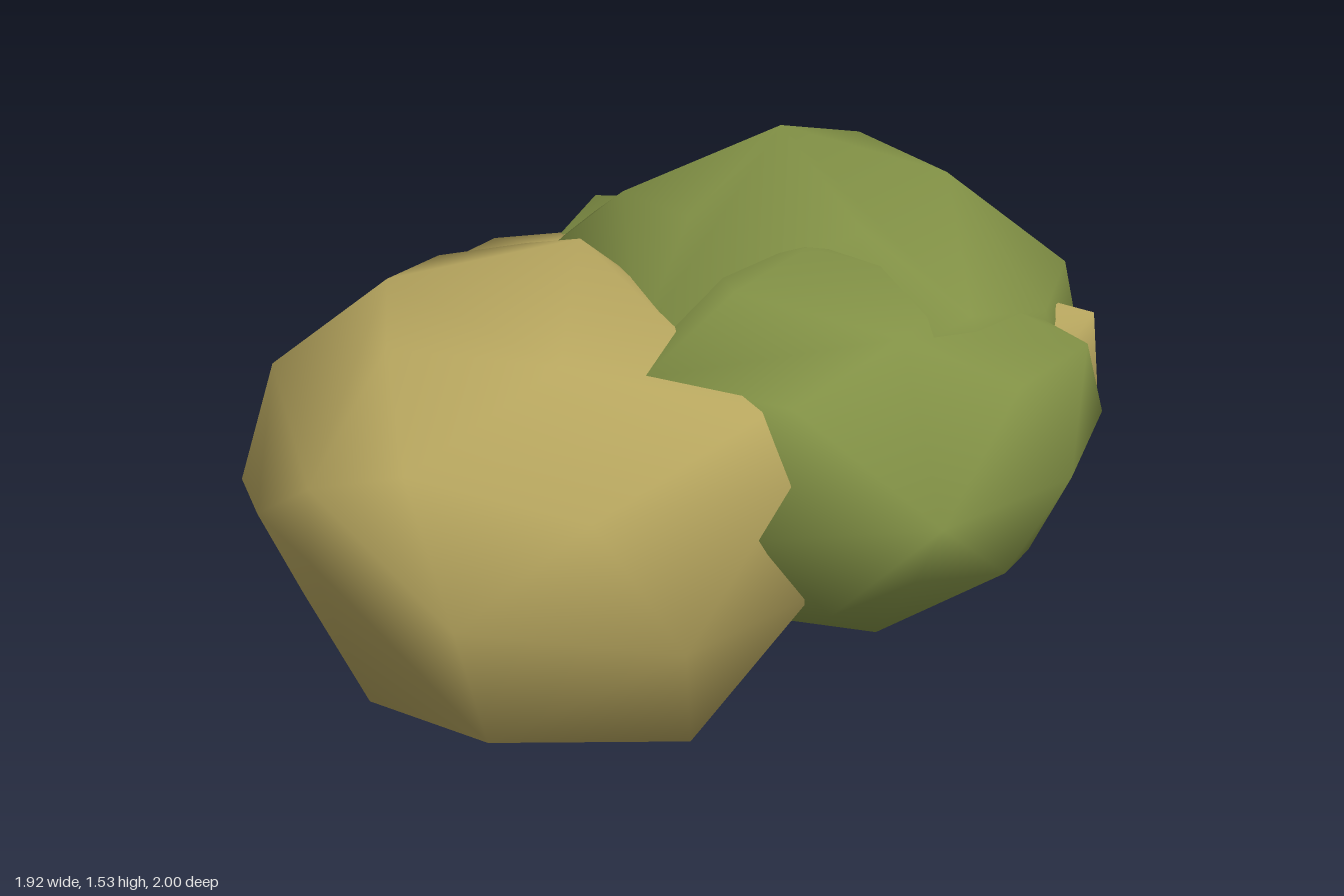
import * as THREE from 'three';
import { mergeVertices } from 'three/addons/utils/BufferGeometryUtils.js';
import { ConvexGeometry } from 'three/addons/geometries/ConvexGeometry.js';

// A lumpy clump: a coarse ellipsoid whose nearest corners are pulled out to the given points
function clump(name, material, centre, radii, corners) {
  const c = new THREE.Vector3(...centre), r = new THREE.Vector3(...radii);
  const ball = new THREE.IcosahedronGeometry(1, 1);
  ball.deleteAttribute('normal');
  ball.deleteAttribute('uv');
  const pos = mergeVertices(ball).attributes.position;
  const dirs = [], points = [];
  for (let i = 0; i < pos.count; i++) {
    const d = new THREE.Vector3().fromBufferAttribute(pos, i);
    dirs.push(d);
    points.push(d.clone().multiply(r).add(c));
  }
  const used = new Set();
  for (const corner of corners) {
    const p = new THREE.Vector3(...corner);
    const d = p.clone().sub(c).divide(r).normalize();
    let best = -1;
    dirs.forEach((v, i) => {
      if (!used.has(i) && (best < 0 || v.dot(d) > dirs[best].dot(d))) best = i;
    });
    used.add(best);
    points[best].copy(p);
  }
  // Welded corners give smooth shading over the coarse faces
  let geometry = new ConvexGeometry(points);
  geometry.deleteAttribute('normal');
  geometry = mergeVertices(geometry, 1e-4);
  geometry.computeVertexNormals();
  const mesh = new THREE.Mesh(geometry, material);
  mesh.name = name;
  return mesh;
}

export function createModel() {
  const leafGreen = new THREE.MeshStandardMaterial({ color: 0x819045 });
  leafGreen.name = 'leaf green';
  const dryLeaf = new THREE.MeshStandardMaterial({ color: 0xb6a55e });
  dryLeaf.name = 'dry leaf';

  const bush = new THREE.Group();
  bush.name = 'bush';
  bush.add(
    clump('frontDryClump', dryLeaf, [-0.29, 0.8, 0.36], [0.62, 0.52, 0.56], [
      [-0.21, 0.78, 1.0], [-0.95, 0.79, 0.48], [-0.93, 0.49, 0.3], [-0.54, 1.32, 0.49],
      [-0.84, 1.09, 0.48], [-0.2, 1.35, 0.2], [-0.62, 0.3, 0.58], [-0.3, 0.26, 0.6],
      [0.13, 0.25, 0.47], [-0.3, 0.26, -0.02], [0.22, 0.7, 0.83], [0.41, 0.69, 0.5],
      [0.38, 1.0, 0.61], [0.31, 1.13, 0.57], [-0.35, 1.05, 0.88], [-0.2, 0.45, 0.88],
      [-0.62, 0.78, 0.8], [-0.72, 1.14, -0.2], [-0.9, 0.8, 0.0], [-0.45, 1.22, -0.12],
    ]),
    clump('middleDryClump', dryLeaf, [-0.02, 0.8, -0.24], [0.84, 0.45, 0.52], [
      [-0.96, 0.72, -0.08], [-0.73, 1.06, -0.61], [-0.81, 0.66, -0.48], [0.92, 1.15, -0.18],
      [0.94, 0.92, -0.31], [0.86, 0.68, -0.44], [0.68, 0.47, -0.3], [-0.72, 1.12, -0.15],
      [-0.74, 0.4, -0.1], [-0.61, 0.28, -0.32], [-0.63, 0.52, -0.61],
    ]),
    clump('backGreenClump', leafGreen, [-0.17, 0.64, -0.42], [0.61, 0.56, 0.54], [
      [-0.11, 0, -0.3], [-0.52, 0.16, -0.28], [0.57, 0.35, -0.3], [0.2, 0.22, -0.62],
      [-0.2, 0.22, -0.66], [-0.1, 0.44, -0.9], [-0.12, 0.7, -1.0], [-0.33, 1.04, -0.97],
      [-0.57, 0.8, -0.92], [-0.69, 0.85, -0.8], [-0.83, 0.75, -0.54], [0.34, 0.72, -0.93],
      [-0.45, 1.19, -0.66], [0.1, 0.38, 0.15], [-0.1, 1.17, -0.8],
    ]),
    clump('topGreenClump', leafGreen, [0.21, 0.95, -0.27], [0.65, 0.52, 0.63], [
      [0.16, 1.53, -0.22], [0.54, 1.41, -0.35], [0.83, 1.18, -0.45], [0.88, 0.98, -0.46],
      [0.58, 1.05, -0.8], [0.16, 1.04, -0.97], [0.28, 1.43, -0.6], [-0.46, 1.14, -0.64],
      [-0.5, 1.12, -0.2], [-0.2, 1.37, -0.12], [0.0, 1.2, 0.42], [0.68, 1.25, 0.2],
      [0.58, 0.62, -0.74], [0.72, 0.64, -0.48], [0.82, 1.2, -0.02], [0.45, 1.15, 0.42],
    ]),
    clump('sideGreenClump', leafGreen, [0.36, 0.89, 0.08], [0.54, 0.45, 0.51], [
      [0.96, 0.89, -0.22], [0.92, 1.15, 0.03], [0.92, 0.9, 0.2], [0.83, 0.62, 0.02],
      [0.58, 0.41, -0.2], [0.45, 0.42, 0.1], [0.45, 0.64, 0.49], [0.69, 0.92, 0.57],
      [0.32, 0.9, 0.68], [0.31, 1.36, 0.16], [0.55, 1.23, 0.32], [0.06, 1.19, 0.58],
      [0.2, 1.32, 0.38],
    ]),
  );
  return bush;
}
